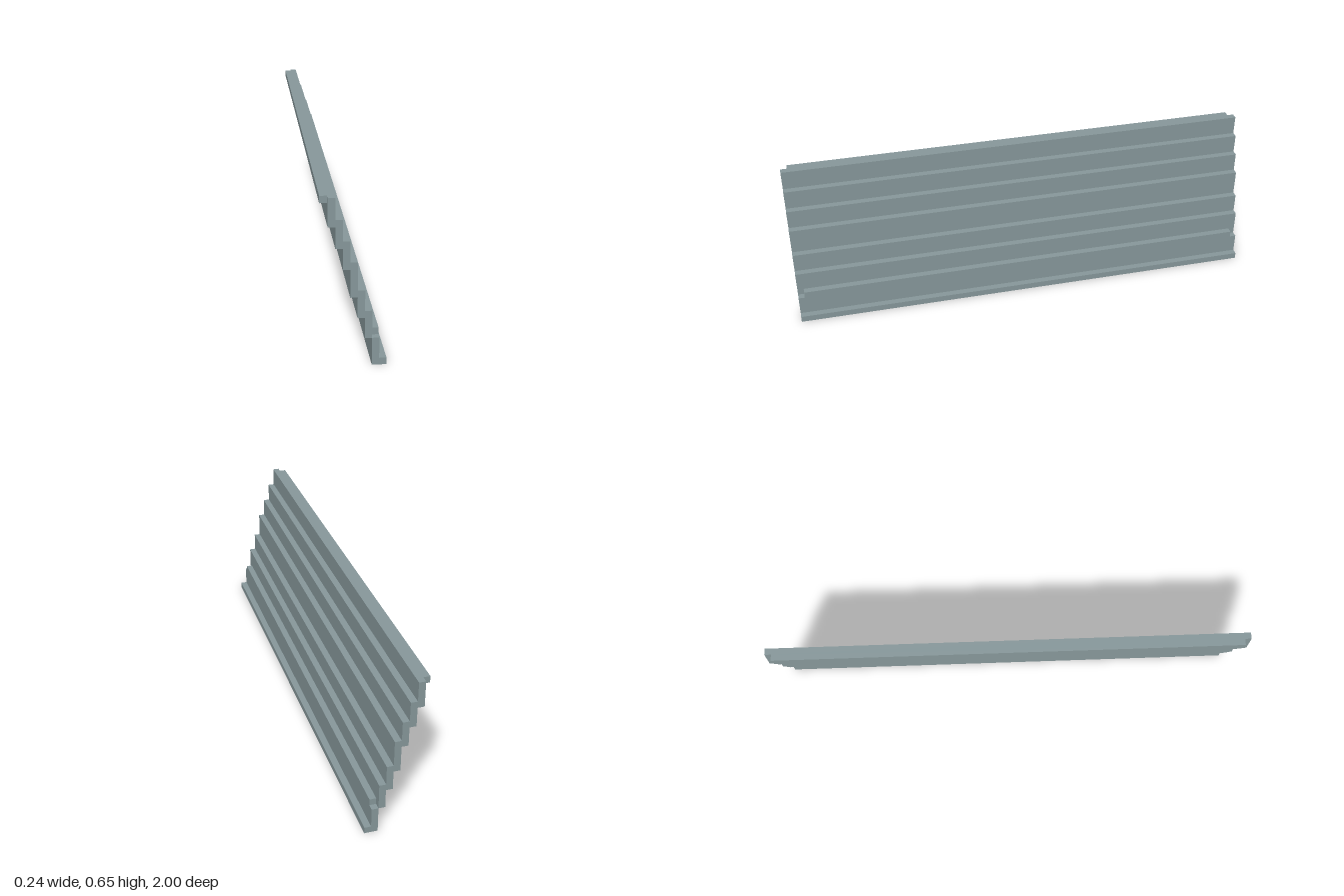
import * as THREE from 'three';

export function createModel() {
  const model = new THREE.Group();
  model.name = 'steppedPanel';
  const greyBlue = new THREE.MeshStandardMaterial({ color: 0x88999c, flatShading: true });
  greyBlue.name = 'greyBlue';

  const unit = 0.0269; // thickness of every step
  const left = -4.5 * unit; // outer edge of the top lip

  // Full-length steps from the top down: [bottom, top] of each column
  const steps = [
    [0.541, 0.649], [0.46, 0.568], [0.379, 0.487], [0.271, 0.406],
    [0.19, 0.298], [0.109, 0.217], [0, 0.109], [0, 0.027],
  ];
  const upper = [], lower = [];
  steps.forEach(([bottom, top], i) => {
    const x0 = left + (i + 1) * unit, x1 = x0 + unit;
    upper.push(new THREE.Vector2(x0, top), new THREE.Vector2(x1, top));
    lower.push(new THREE.Vector2(x0, bottom), new THREE.Vector2(x1, bottom));
  });
  // Drop the repeated corner along the flat base
  const base = lower.filter((p, i) => i !== 13 && i !== 14);
  const outline = new THREE.Shape([...base, ...upper.reverse()]);
  const panelGeometry = new THREE.ExtrudeGeometry(outline, { depth: 2, bevelEnabled: false });
  panelGeometry.translate(0, 0, -1);
  const panel = new THREE.Mesh(panelGeometry, greyBlue);
  panel.name = 'steppedBody';
  model.add(panel);

  // Slightly shorter interlocking strips
  const addStrip = (name, column, bottom) => {
    const strip = new THREE.Mesh(new THREE.BoxGeometry(unit, 0.027, 1.946), greyBlue);
    strip.position.set(left + (column + 0.5) * unit, bottom + 0.0135, 0);
    strip.name = name;
    model.add(strip);
  };
  addStrip('topLip', 0, 0.622);
  addStrip('lowerTongue', 7, 0.109);

  return model;
}
